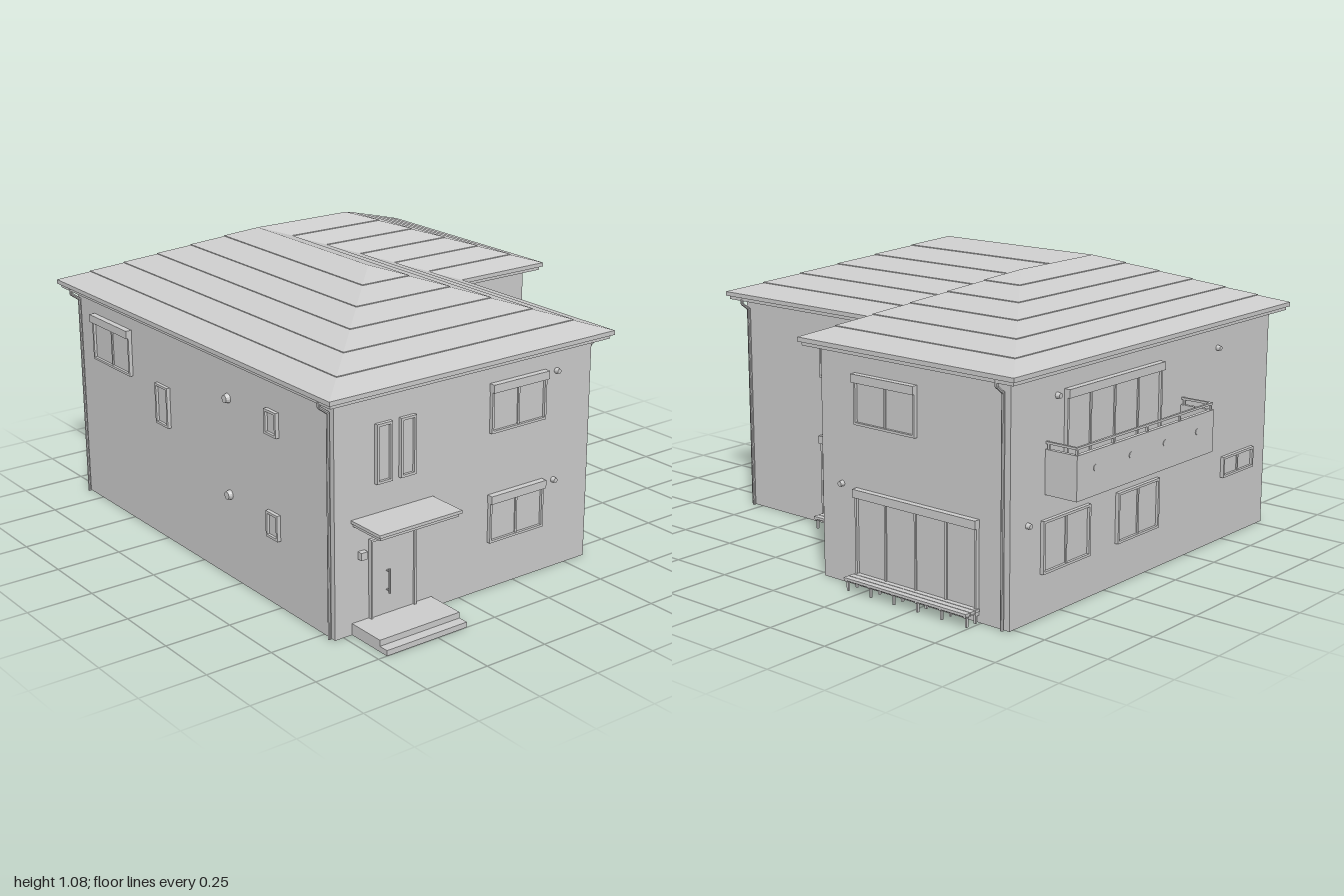
import * as THREE from 'three';

const mat = new THREE.MeshStandardMaterial({ color: 0xcccccc, flatShading: true });
const thin = new THREE.MeshStandardMaterial({ color: 0xcccccc, flatShading: true, side: THREE.DoubleSide });

function mesh(parent, geo, name, m = mat) {
  const o = new THREE.Mesh(geo, m);
  o.name = name;
  parent.add(o);
  return o;
}
// box given by its minimum and maximum corners
function box(parent, name, x0, x1, y0, y1, z0, z1) {
  const o = mesh(parent, new THREE.BoxGeometry(x1 - x0, y1 - y0, z1 - z0), name);
  o.position.set((x0 + x1) / 2, (y0 + y1) / 2, (z0 + z1) / 2);
  return o;
}
// round bar between two points
function bar(parent, name, a, b, r) {
  const p = new THREE.Vector3(...a), q = new THREE.Vector3(...b);
  const d = q.clone().sub(p);
  const o = mesh(parent, new THREE.CylinderGeometry(r, r, d.length(), 8), name);
  o.position.copy(p).add(q).multiplyScalar(0.5);
  o.quaternion.setFromUnitVectors(new THREE.Vector3(0, 1, 0), d.normalize());
  return o;
}

// L-shaped plan [x, z], grown outwards by o
const plan = (o) => [
  [-0.785 - o, 0.81 + o], [0.345 + o, 0.81 + o], [0.345 + o, -0.025 + o],
  [0.77 + o, -0.025 + o], [0.77 + o, -0.87 - o], [-0.785 - o, -0.87 - o],
];
function slab(parent, name, o, y0, y1) {
  const s = new THREE.Shape(plan(o).map(([x, z]) => new THREE.Vector2(x, -z)));
  const g = new THREE.ExtrudeGeometry(s, { depth: y1 - y0, bevelEnabled: false });
  g.rotateX(-Math.PI / 2);
  mesh(parent, g, name).position.y = y0;
}

// hipped roof: courses of tiles from the eaves loop up to the ridge points
function roof(parent) {
  const eaves = plan(0.057);
  const ridge = [[-0.22, 0.25], [-0.22, 0.25], [-0.22, -0.45], [0.2, -0.45], [0.2, -0.45], [-0.22, -0.45]];
  const rows = 6, y0 = 0.865, y1 = 1.076, lift = 0.003;
  const at = (i, t, up) => {
    const e = eaves[i % 6], r = ridge[i % 6];
    return [e[0] + (r[0] - e[0]) * t, y0 + (y1 - y0) * t + up, e[1] + (r[1] - e[1]) * t];
  };
  const pos = [];
  const quad = (a, b, c, d) => pos.push(...a, ...b, ...c, ...a, ...c, ...d);
  for (let i = 0; i < 6; i++) {
    for (let k = 0; k < rows; k++) {
      const t = k / rows, u = (k + 1) / rows;
      quad(at(i, t, 0), at(i + 1, t, 0), at(i + 1, t, lift), at(i, t, lift));
      quad(at(i, t, lift), at(i + 1, t, lift), at(i + 1, u, 0), at(i, u, 0));
    }
  }
  const g = new THREE.BufferGeometry();
  g.setAttribute('position', new THREE.Float32BufferAttribute(pos, 3));
  g.computeVertexNormals();
  mesh(parent, g, 'roofTiles', thin);
}

// wall frames: local x runs along the wall, local z points outwards
const walls = {
  front: { rot: 0, sign: 1, put: (u) => [u, 0, 0.81] },
  back: { rot: Math.PI, sign: -1, put: (u) => [u, 0, -0.87] },
  left: { rot: -Math.PI / 2, sign: 1, put: (u) => [-0.785, 0, u] },
  wing: { rot: Math.PI / 2, sign: -1, put: (u) => [0.345, 0, u] },
  right: { rot: Math.PI / 2, sign: -1, put: (u) => [0.77, 0, u] },
};
function onWall(parent, name, side, u) {
  const g = new THREE.Group();
  g.name = name;
  g.position.set(...walls[side].put(u));
  g.rotation.y = walls[side].rot;
  parent.add(g);
  return g;
}

// framed window with optional shutter box and mullions
function windowUnit(parent, name, side, u0, u1, y0, y1, panes = 1, shutter = false) {
  const g = onWall(parent, name, side, (u0 + u1) / 2);
  const w = Math.abs(u1 - u0) / 2, f = 0.009, d = 0.014;
  box(g, 'glass', -w, w, y0, y1, 0, 0.004);
  box(g, 'frameSide', -w, -w + f, y0, y1, 0, d);
  box(g, 'frameSide', w - f, w, y0, y1, 0, d);
  box(g, 'frameSill', -w, w, y0, y0 + f, 0, d);
  box(g, 'frameTop', -w, w, y1 - f, y1, 0, d);
  for (let i = 1; i < panes; i++) {
    const x = -w + (2 * w * i) / panes;
    box(g, 'mullion', x - 0.004, x + 0.004, y0, y1, 0, 0.009);
  }
  if (shutter) box(g, 'shutterBox', -w - 0.002, w + 0.002, y1 - 0.03, y1, 0, 0.024);
}

function vent(parent, side, u, y, r = 0.011) {
  const g = onWall(parent, 'vent', side, u);
  const c = mesh(g, new THREE.CylinderGeometry(r * 0.8, r, 0.016, 12), 'ventHood');
  c.rotation.x = Math.PI / 2;
  c.position.set(0, y, 0.008);
}

// low slatted step with legs under a glass door
function deck(parent, side, u0, u1, bays) {
  const g = onWall(parent, 'deck', side, (u0 + u1) / 2);
  const w = Math.abs(u1 - u0) / 2;
  for (let i = 0; i < 3; i++) box(g, 'deckBoard', -w, w, 0.04, 0.05, 0.002 + i * 0.0245, 0.024 + i * 0.0245);
  box(g, 'deckBeam', -w, w, 0.034, 0.04, 0.055, 0.063);
  for (let i = 0; i <= bays; i++) {
    const x = -w + 0.008 + ((2 * w - 0.016) * i) / bays;
    box(g, 'deckJoist', x - 0.004, x + 0.004, 0.034, 0.04, 0, 0.07);
    for (const z of [0.015, 0.059]) box(g, 'deckLeg', x - 0.004, x + 0.004, 0, 0.036, z - 0.004, z + 0.004);
  }
}

function downpipe(parent, gutter, wall) {
  const g = new THREE.Group();
  g.name = 'downpipe';
  parent.add(g);
  const [gx, gz] = gutter, [x, z] = wall, r = 0.006;
  bar(g, 'outlet', [gx, 0.845, gz], [gx, 0.825, gz], r);
  bar(g, 'offset', [gx, 0.826, gz], [x, 0.8, z], r);
  bar(g, 'pipe', [x, 0.802, z], [x, 0, z], r);
}

export function createModel() {
  const house = new THREE.Group();
  house.name = 'house';

  // shell
  slab(house, 'walls', 0, 0, 0.845);
  slab(house, 'gutter', 0.046, 0.838, 0.852);
  slab(house, 'roofEdge', 0.057, 0.852, 0.865);
  roof(house);

  // front windows
  for (const y of [0.585, 0.177]) windowUnit(house, 'frontWindow', 'front', -0.125, 0.125, y, y + 0.18, 2, true);
  for (const x of [-0.62, -0.52]) windowUnit(house, 'narrowWindow', 'front', x, x + 0.065, 0.52, 0.73);

  // right side windows and garden doors
  windowUnit(house, 'wingWindow', 'wing', 0.115, 0.4, 0.585, 0.765, 2, true);
  windowUnit(house, 'wingDoor', 'wing', 0.115, 0.4, 0.025, 0.357, 2, true);
  windowUnit(house, 'sideWindow', 'right', -0.47, -0.19, 0.585, 0.765, 2, true);
  windowUnit(house, 'gardenDoor', 'right', -0.74, -0.19, 0.025, 0.357, 4, true);
  deck(house, 'wing', 0.11, 0.385, 3);
  deck(house, 'right', -0.745, -0.19, 5);

  // back windows
  windowUnit(house, 'balconyDoor', 'back', -0.06, 0.49, 0.44, 0.765, 4, true);
  windowUnit(house, 'backWindow', 'back', 0.35, 0.61, 0.155, 0.34, 2);
  windowUnit(house, 'backWindow', 'back', -0.06, 0.19, 0.155, 0.34, 2);
  windowUnit(house, 'smallBackWindow', 'back', -0.69, -0.48, 0.245, 0.325, 2);

  // left side windows
  windowUnit(house, 'leftWindow', 'left', -0.74, -0.465, 0.585, 0.765, 2, true);
  windowUnit(house, 'stairWindow', 'left', -0.286, -0.2, 0.455, 0.61);
  windowUnit(house, 'smallLeftWindow', 'left', 0.43, 0.5, 0.625, 0.715);
  windowUnit(house, 'smallLeftWindow', 'left', 0.43, 0.5, 0.25, 0.345);

  // wall vents
  for (const [s, u, y] of [['front', 0.18, 0.75], ['front', 0.18, 0.34], ['back', 0.53, 0.75],
    ['back', -0.43, 0.75], ['back', 0.68, 0.34], ['right', -0.12, 0.36]]) vent(house, s, u, y);
  for (const y of [0.68, 0.32]) vent(house, 'left', 0.19, y, 0.018);

  // entrance
  const porch = new THREE.Group();
  porch.name = 'entrance';
  house.add(porch);
  box(porch, 'lowerStep', -0.715, -0.375, 0, 0.02, 0.8, 1);
  box(porch, 'upperStep', -0.715, -0.375, 0.02, 0.042, 0.8, 0.962);
  box(porch, 'doorPanel', -0.635, -0.46, 0.042, 0.325, 0.8, 0.816);
  box(porch, 'doorJamb', -0.645, -0.637, 0.042, 0.33, 0.8, 0.824);
  box(porch, 'doorJamb', -0.46, -0.452, 0.042, 0.33, 0.8, 0.824);
  box(porch, 'doorLintel', -0.645, -0.452, 0.322, 0.33, 0.8, 0.824);
  bar(porch, 'doorHandle', [-0.573, 0.12, 0.832], [-0.573, 0.21, 0.832], 0.004);
  for (const y of [0.13, 0.2]) bar(porch, 'handleMount', [-0.573, y, 0.81], [-0.573, y, 0.832], 0.003);
  box(porch, 'postBox', -0.69, -0.663, 0.27, 0.297, 0.8, 0.83);
  box(porch, 'canopyTop', -0.717, -0.373, 0.404, 0.415, 0.8, 0.965);
  box(porch, 'canopySoffit', -0.71, -0.38, 0.392, 0.404, 0.8, 0.957);

  // balcony
  const bal = new THREE.Group();
  bal.name = 'balcony';
  house.add(bal);
  const L = -0.214, R = 0.59;
  box(bal, 'balconyFloor', L, R, 0.425, 0.445, -1, -0.86);
  box(bal, 'balconyParapet', L, R, 0.425, 0.58, -1, -0.985);
  for (const x of [L, R - 0.015]) box(bal, 'balconySide', x, x + 0.015, 0.425, 0.58, -0.99, -0.86);
  box(bal, 'handrail', L + 0.002, R - 0.002, 0.598, 0.606, -0.997, -0.988);
  for (const x of [L + 0.007, R - 0.007]) {
    box(bal, 'sideRail', x - 0.005, x + 0.005, 0.598, 0.606, -0.99, -0.87);
    box(bal, 'railPost', x - 0.004, x + 0.004, 0.57, 0.6, -0.885, -0.877);
  }
  for (let i = 0; i < 5; i++) {
    const x = L + 0.01 + ((R - L - 0.02) * i) / 4;
    box(bal, 'railPost', x - 0.004, x + 0.004, 0.57, 0.6, -0.996, -0.988);
  }
  for (let i = 0; i < 4; i++) {
    const x = 0.49 - i * 0.2;
    bar(bal, 'parapetVent', [x, 0.52, -0.99], [x, 0.52, -1.002], 0.012);
  }

  // downpipes
  downpipe(house, [0.388, 0.79], [0.353, 0.79]);
  downpipe(house, [0.812, -0.845], [0.778, -0.845]);
  downpipe(house, [-0.828, 0.79], [-0.793, 0.79]);
  downpipe(house, [-0.828, -0.845], [-0.793, -0.845]);
  downpipe(house, [0.435, 0.018], [0.435, -0.017]);

  // air conditioner with its duct
  const ac = new THREE.Group();
  ac.name = 'airConditioner';
  house.add(ac);
  box(ac, 'acBody', 0.465, 0.575, 0.018, 0.098, -0.018, 0.025);
  for (const x of [0.475, 0.55]) box(ac, 'acFoot', x, x + 0.015, 0, 0.018, -0.018, 0.025);
  box(ac, 'ductCover', 0.578, 0.59, 0.04, 0.76, -0.03, -0.012);
  bar(ac, 'acHose', [0.57, 0.035, -0.01], [0.584, 0.045, -0.018], 0.006);

  return house;
}
